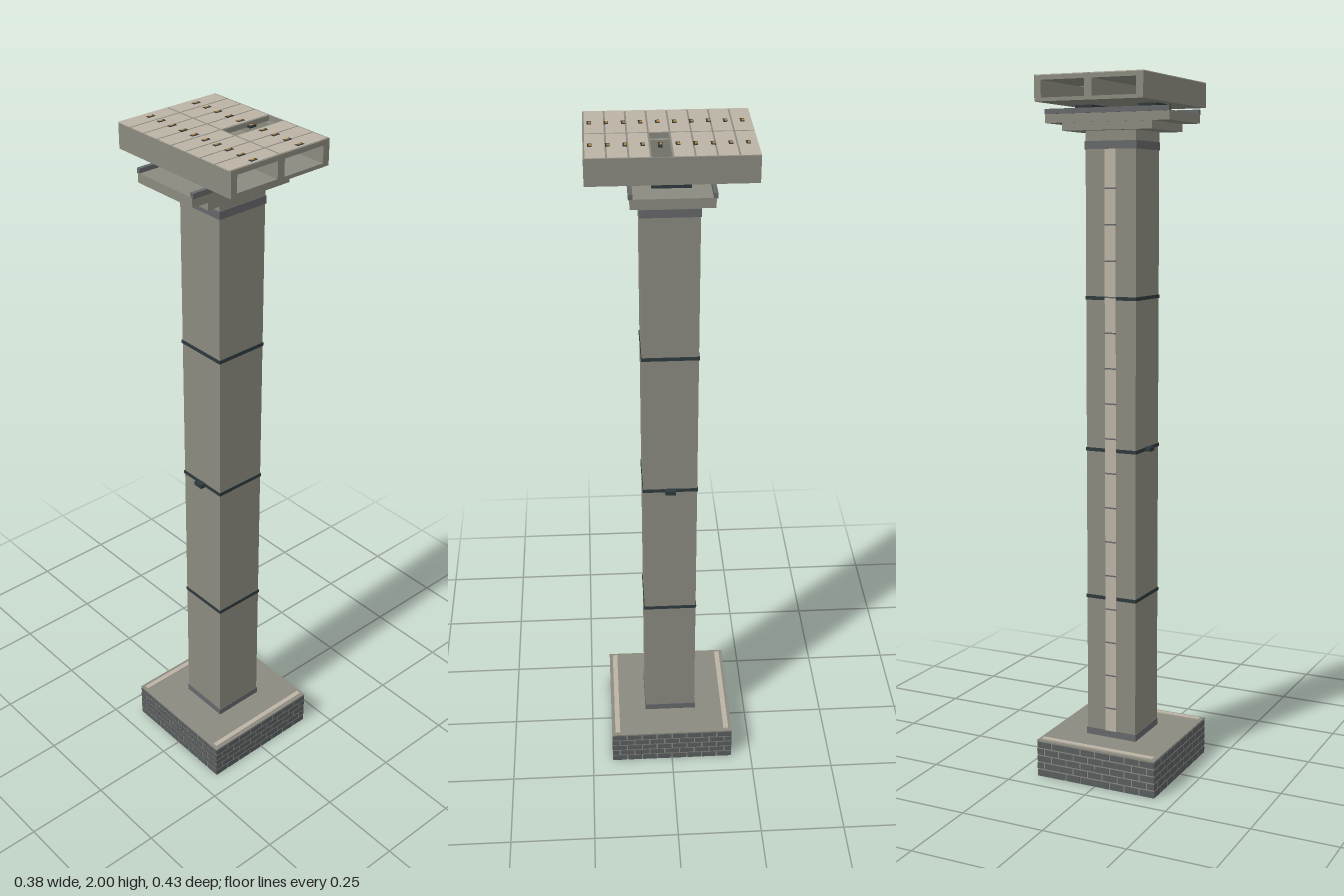
import * as THREE from 'three';
import { mergeGeometries } from 'three/addons/utils/BufferGeometryUtils.js';

const mat = (name, color) => {
  const m = new THREE.MeshStandardMaterial({ color });
  m.name = name;
  return m;
};

// Box geometry from its minimum and maximum corners
const span = (x0, x1, y0, y1, z0, z1) =>
  new THREE.BoxGeometry(x1 - x0, y1 - y0, z1 - z0)
    .translate((x0 + x1) / 2, (y0 + y1) / 2, (z0 + z1) / 2);

export function createModel() {
  const concrete = mat('concrete', 0x8b8a7f);
  const pale = mat('pale concrete', 0xbbb4a5);
  const brick = mat('dark brick', 0x595d5e);
  const steel = mat('grey steel', 0x66676a);
  const black = mat('dark joint', 0x2e393c);
  const orange = mat('orange clip', 0xbb8338);
  const model = new THREE.Group();
  model.name = 'bridgePier';

  const add = (name, material, ...geos) => {
    const mesh = new THREE.Mesh(geos.length > 1 ? mergeGeometries(geos) : geos[0], material);
    mesh.name = name;
    model.add(mesh);
    return mesh;
  };
  // Box centred on x and z
  const block = (hx, y0, y1, hz) => span(-hx, hx, y0, y1, -hz, hz);

  // Footing: mortar core, top slab and two pale kerbs
  const B = 0.188;
  add('footingCore', concrete, block(B - 0.002, 0, 0.106, B - 0.002));
  add('footingSlab', concrete, block(B, 0.106, 0.11, B));
  add('footingKerbs', pale, ...[-1, 1].map((s) =>
    block(0.178, 0.109, 0.113, 0.0075).translate(0, 0, s * 0.17)));

  // Brick facing in running bond on the four sides
  const bricks = [];
  const rows = 5, rowH = 0.106 / rows, brickL = (2 * B) / 8, gap = 0.004;
  for (let side = 0; side < 4; side++) {
    for (let r = 0; r < rows; r++) {
      const shift = r % 2 ? -brickL / 2 : 0;
      for (let i = 0; i < 9; i++) {
        const x0 = Math.max(-B, -B + shift + i * brickL + gap / 2);
        const x1 = Math.min(B, -B + shift + (i + 1) * brickL - gap / 2);
        if (x1 - x0 < 0.005) continue;
        bricks.push(span(x0, x1, r * rowH + (r ? gap / 2 : 0), (r + 1) * rowH - gap / 2, B - 0.003, B)
          .rotateY(side * Math.PI / 2));
      }
    }
  }
  add('footingBricks', brick, ...bricks);

  // Square shaft with collars at both ends and dark joints
  const S = 0.077;
  add('shaft', concrete, block(S, 0.11, 1.856, S));
  add('shaftCollars', steel, block(S + 0.002, 0.11, 0.13, S + 0.002),
    block(S + 0.002, 1.806, 1.828, S + 0.002));
  add('shaftJoints', black, ...[0.532, 0.966, 1.397].map((y) =>
    block(S + 0.002, y - 0.005, y + 0.005, S + 0.002)));
  add('jointLugs', black, ...[-1, 1].map((s) =>
    block(0.009, 0.96, 0.972, 0.015).translate(s * 0.085, 0, 0)));

  // Pale access strip down the back, with evenly spaced seams
  add('backStrip', pale, span(-0.017, 0.017, 0.13, 1.806, -S - 0.004, -S));
  const seams = [];
  for (let y = 0.2; y < 1.8; y += 0.1) {
    seams.push(span(-0.017, 0.017, y - 0.002, y + 0.002, -S - 0.005, -S - 0.003));
  }
  add('backStripSeams', steel, ...seams);

  // Stepped pier head with raised steel edges
  add('headStep', concrete, block(0.136, 1.856, 1.878, 0.103));
  add('headBeam', concrete, block(B, 1.878, 1.904, 0.105));
  add('headEdges', steel, ...[-1, 1].map((s) =>
    block(B, 1.902, 1.916, 0.0055).translate(0, 0, s * 0.1035)));

  // Bearings between the head and the deck
  add('bearings', black, ...[-1, 1].map((s) =>
    block(0.027, 1.903, 1.93, 0.05).translate(s * 0.097, 0, 0)));

  // Twin-cell deck: floor and three webs, open at both ends
  const D = 0.161, L = 0.214, top = 1.984;
  add('deckFloor', concrete, block(D, 1.928, 1.938, L));
  add('deckWebs', concrete,
    span(-D, -0.141, 1.938, top, -L, L),
    span(-0.011, 0.011, 1.938, top, -L, L),
    span(0.141, D, 1.938, top, -L, L));

  // Deck panels laid over the webs, one left open
  const n = 8, pitch = (2 * L) / n, panels = [];
  for (let i = 0; i < n; i++) {
    const z0 = -L + i * pitch;
    panels.push(span(-D, -0.0055, 1.996, 1.9985, z0, z0 + pitch - 0.0045));
    if (i !== 4) panels.push(span(0, 0.157, 1.996, 1.9985, z0, z0 + pitch - 0.0045));
  }
  add('deckPanels', pale, ...panels);

  // Concrete bed under the panels, leaving the open bay clear
  const bayZ0 = -L + 4 * pitch, bayZ1 = bayZ0 + pitch - 0.0045;
  add('deckBed', concrete,
    span(-D, 0, top, 1.996, -L, L),
    span(0, 0.157, top, 1.996, -L, bayZ0),
    span(0, 0.157, top, 1.996, bayZ1, L),
    span(0.157, D, top, 1.998, -L, L),
    span(-0.0055, 0, 1.996, 1.998, -L, L));
  add('panelJoints', concrete, ...Array.from({ length: n }, (_, i) => {
    const z1 = -L + (i + 1) * pitch;
    return span(-D, D, 1.9955, 1.9975, z1 - 0.0045, z1);
  }));

  // Two rows of fastenings, each a dark plate with an orange clip
  const plates = [], clips = [];
  for (const x of [-0.076, 0.075]) {
    for (let i = 0; i < 10; i++) {
      const z = -0.19 + i * 0.043;
      plates.push(span(x - 0.011, x + 0.011, 1.994, 1.9993, z - 0.0055, z + 0.0055));
      clips.push(span(x - 0.006, x + 0.006, 1.9985, 2, z - 0.0045, z + 0.0015));
    }
  }
  add('fasteningPlates', black, ...plates);
  add('fasteningClips', orange, ...clips);

  return model;
}
